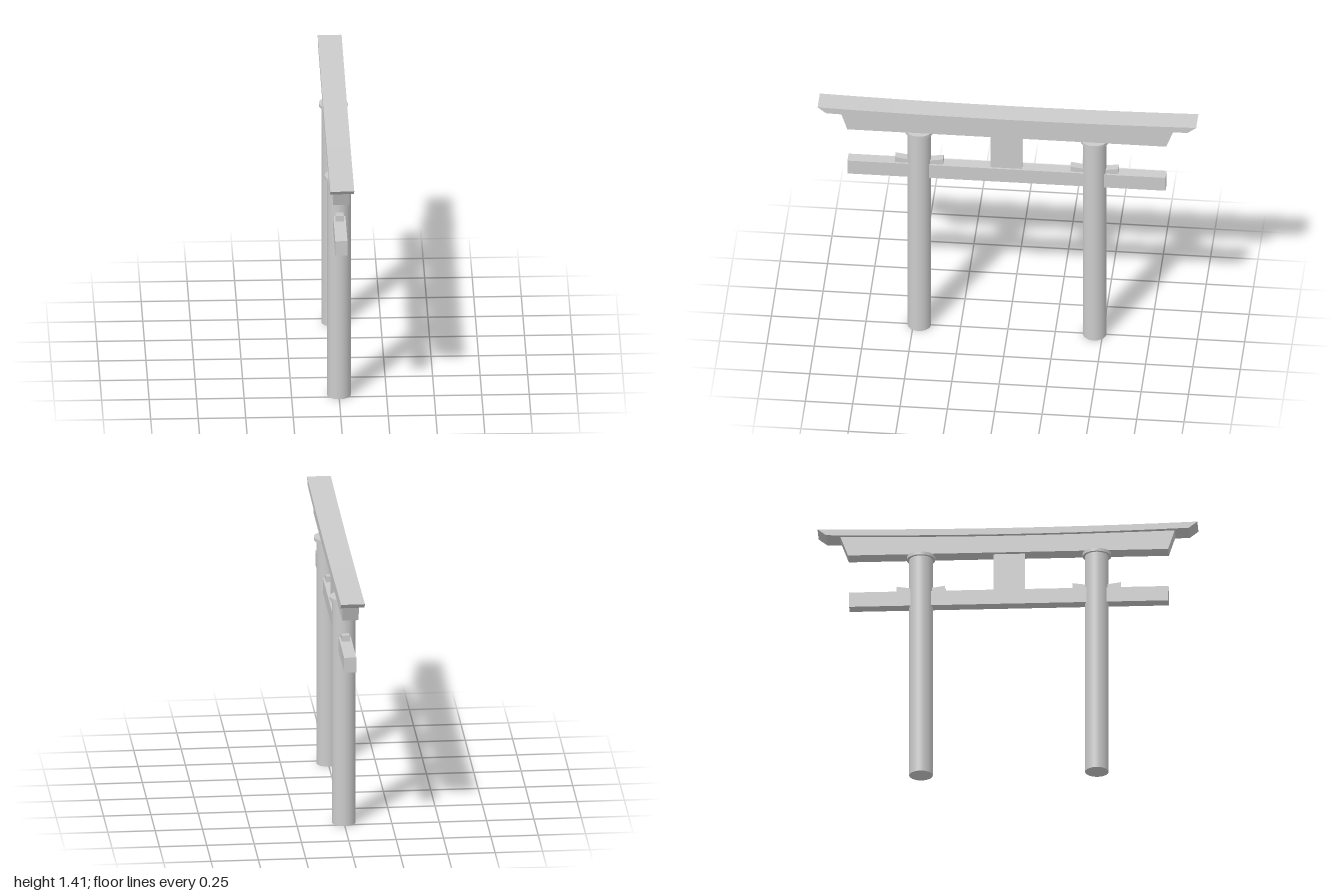
import * as THREE from 'three';

const material = new THREE.MeshStandardMaterial({ color: 0xcccccc });
const OFFSET = 0.005; // posts and tie beam sit slightly forward of the roof centre

function addMesh(parent, name, geometry, x = 0, y = 0, z = 0) {
  const mesh = new THREE.Mesh(geometry, material);
  mesh.name = name;
  mesh.position.set(x, y, z);
  parent.add(mesh);
  return mesh;
}

// Extrudes a side outline of [z, y] points across x, centred on x = 0
function sideProfile(points, width) {
  const shape = new THREE.Shape(points.map(([z, y]) => new THREE.Vector2(-z, y)));
  const geometry = new THREE.ExtrudeGeometry(shape, { depth: width, bevelEnabled: false });
  return geometry.translate(0, 0, -width / 2).rotateY(Math.PI / 2);
}

// Points along a shallow upward sweep, from z = -end to z = +end
function sweep(end, middleY, endY, steps = 10) {
  const points = [];
  for (let i = 0; i <= steps; i++) {
    const t = (2 * i) / steps - 1;
    points.push([t * end, middleY + (endY - middleY) * t * t]);
  }
  return points;
}

export function createModel() {
  const gate = new THREE.Group();
  gate.name = 'gate';

  // Posts with a disc cap and wedges either side
  for (const side of [1, -1]) {
    const post = new THREE.Group();
    post.name = side > 0 ? 'frontPost' : 'backPost';
    post.position.z = OFFSET + side * 0.463;
    gate.add(post);
    addMesh(post, 'pillar', new THREE.CylinderGeometry(0.062, 0.062, 1.25, 32), 0, 0.625, 0);
    addMesh(post, 'pillarCap', new THREE.CylinderGeometry(0.075, 0.075, 0.017, 32), 0, 1.257, 0);
    // Wedge tops dip towards the pillar
    const wedge = [[-0.127, 1.05], [0.127, 1.05], [0.127, 1.088], [0.04, 1.075], [-0.04, 1.075], [-0.127, 1.088]];
    addMesh(post, 'wedges', sideProfile(wedge, 0.043));
  }

  // Tie beam through the posts, and the central strut above it
  addMesh(gate, 'tieBeam', new THREE.BoxGeometry(0.064, 0.083, 1.68), 0, 1.0135, OFFSET);
  addMesh(gate, 'centreStrut', new THREE.BoxGeometry(0.042, 0.22, 0.165), 0, 1.16, OFFSET + 0.002);

  // Lower lintel: flat underside, slanted ends, top following the roof beam
  const lintel = [[-0.84, 1.265], ...sweep(0.88, 1.362, 1.372), [0.845, 1.265]];
  addMesh(gate, 'lowerLintel', sideProfile(lintel, 0.086));

  // Roof beam: gently swept, with undercut ends
  const roof = [...sweep(0.955, 1.361, 1.376), ...sweep(1, 1.397, 1.411).reverse()];
  addMesh(gate, 'roofBeam', sideProfile(roof, 0.126));

  return gate;
}
